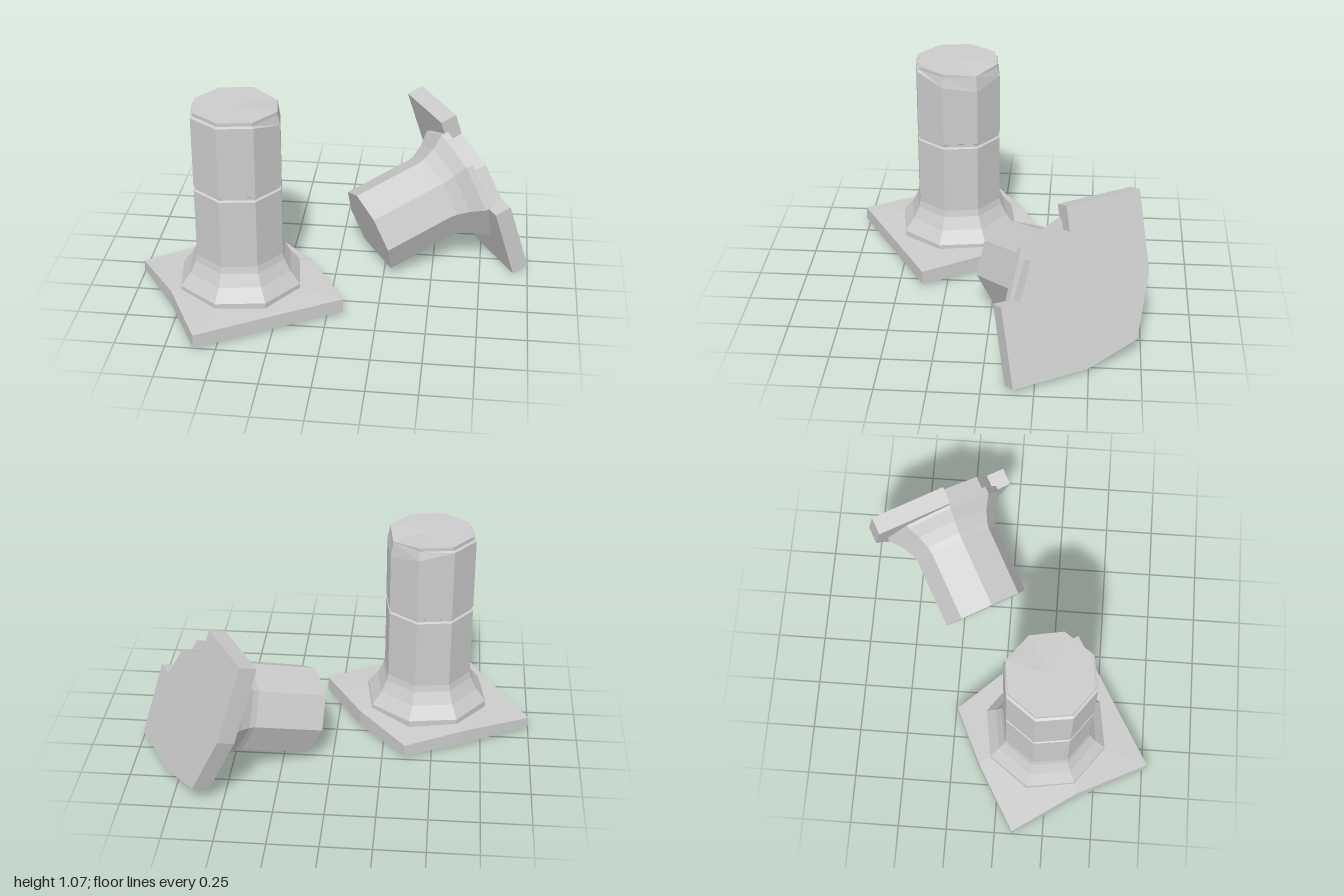
import * as THREE from 'three';

const material = new THREE.MeshStandardMaterial({ color: 0xcccccc, flatShading: true });

// Faceted solid through a stack of rings (lowest first), closed by fans to two centre points
function loft(name, rings, bottomY, topY) {
  const pos = [];
  const tri = (...corners) => corners.forEach((p) => pos.push(...p));
  const n = rings[0].length;
  const low = rings[0], high = rings[rings.length - 1];
  for (let j = 0; j < n; j++) {
    const k = (j + 1) % n;
    for (let i = 0; i < rings.length - 1; i++) {
      const a = rings[i], b = rings[i + 1];
      tri(a[j], b[j], b[k]);
      tri(a[j], b[k], a[k]);
    }
    tri([0, bottomY, 0], low[j], low[k]);
    tri([0, topY, 0], high[k], high[j]);
  }
  const geometry = new THREE.BufferGeometry();
  geometry.setAttribute('position', new THREE.Float32BufferAttribute(pos, 3));
  geometry.computeVertexNormals();
  const mesh = new THREE.Mesh(geometry, material);
  mesh.name = name;
  return mesh;
}

// Octagonal ring
function octagon(radius, y, turn = 0) {
  return Array.from({ length: 8 }, (_, j) => {
    const a = turn + (j * Math.PI) / 4;
    return [radius * Math.cos(a), y, radius * Math.sin(a)];
  });
}

// Broken slab: outline points are [x, z, top height]
function slab(outline, topY) {
  return loft('basePlate', [
    outline.map(([x, z]) => [x, 0, z]),
    outline.map(([x, z, h]) => [x, h, z]),
  ], 0, topY);
}

// Flared foot shared by both columns: [radius, height]
const foot = [[0.323, 0.07], [0.323, 0.108], [0.272, 0.172], [0.24, 0.235], [0.232, 0.27]];

function standingColumn() {
  const group = new THREE.Group();
  group.name = 'standingColumn';
  group.add(slab([
    [0.538, 0.145, 0.075], [-0.147, 0.54, 0.072], [-0.327, 0.185, 0.085], [-0.542, -0.14, 0.052],
    [-0.202, -0.335, 0.078], [0.093, -0.47, 0.06], [0.338, -0.2, 0.085],
  ], 0.1));

  const turn = THREE.MathUtils.degToRad(14);
  // Foot, shaft, groove, upper shaft and cap
  const profile = [...foot, [0.232, 0.632], [0.221, 0.638], [0.221, 0.652], [0.232, 0.658],
    [0.232, 1.025], [0.219, 1.032], [0.219, 1.05]];
  const rings = profile.map(([r, y]) => octagon(r, y, turn));
  // Chipped corner below the cap
  const [shoulder, , rim] = rings.slice(-3);
  shoulder[0][1] = 0.98;
  shoulder[7][1] = 0.95;
  shoulder[6][1] = 0.985;
  rim[7][1] = 1.034;
  group.add(loft('shaft', rings, 0.07, 1.05));
  group.position.set(-0.458, 0.015, 0.23);
  return group;
}

function fallenColumn() {
  const group = new THREE.Group();
  group.name = 'fallenColumn';
  // Plate broken away along the foot on one side
  const outline = [[-0.394, -0.393], [0, -0.393], [0, -0.272], [0.216, -0.18], [0.3, 0],
    [0.397, 0], [0.397, 0.398], [0, 0.4], [-0.282, 0.324], [-0.391, 0.008]];
  group.add(slab(outline.map(([x, z]) => [x, z, 0.09]), 0.09));

  const rings = [...foot, [0.232, 0.42], [0.232, 0.645]].map(([r, y]) => octagon(r, y));
  // Sheared-off corner at the broken end
  rings[rings.length - 1][2][2] = 0.166;
  group.add(loft('brokenShaft', rings, 0.07, 0.645));

  // Lies tilted, with the shaft pointing along "axis"
  const axis = new THREE.Vector3(-0.822, -0.314, 0.475).normalize();
  const side = new THREE.Vector3(0.5, 0, 0.866).normalize();
  const across = new THREE.Vector3().crossVectors(side, axis).normalize();
  side.crossVectors(axis, across);
  group.quaternion.setFromRotationMatrix(new THREE.Matrix4().makeBasis(side, axis, across));
  group.position.set(0.693, 0.407, -0.435);
  return group;
}

export function createModel() {
  const model = new THREE.Group();
  model.name = 'ruinedColumns';
  model.add(standingColumn(), fallenColumn());
  return model;
}
